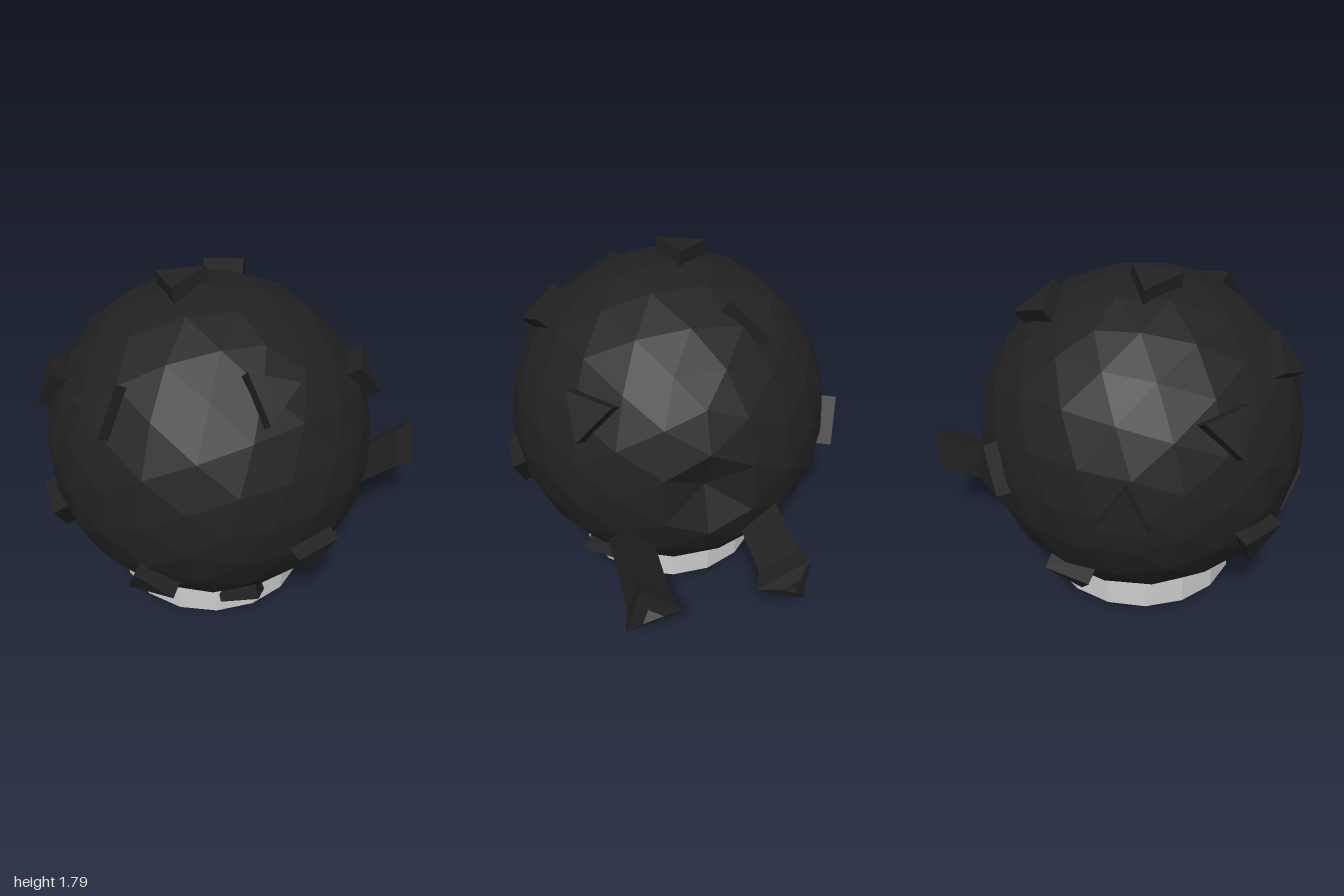
import * as THREE from 'three';

const V = (x, y, z) => new THREE.Vector3(x, y, z);
const CENTRE = V(-0.025, 0.885, 0.14);
const RADIUS = 0.835;

const dark = new THREE.MeshStandardMaterial({ color: 0x222222, flatShading: true });
const grey = new THREE.MeshStandardMaterial({ color: 0xcccccc, flatShading: true });

// Turn a mesh so its y axis follows axis and its first corner (+z) leans towards corner
function orient(mesh, axis, corner) {
  const y = axis.clone().normalize();
  const z = corner.clone().addScaledVector(y, -corner.dot(y)).normalize();
  const x = V(0, 0, 0).crossVectors(y, z);
  mesh.quaternion.setFromRotationMatrix(new THREE.Matrix4().makeBasis(x, y, z));
}

function createBall() {
  const geo = new THREE.IcosahedronGeometry(RADIUS, 3);
  const p = geo.attributes.position;
  // hexagonal dimple at the back: push the one rearmost vertex inwards
  for (let i = 0; i < p.count; i++) {
    if (p.getZ(i) < -0.98 * RADIUS) p.setZ(i, -0.7);
  }
  geo.computeVertexNormals();
  const ball = new THREE.Mesh(geo, dark);
  ball.name = 'ball';
  ball.position.copy(CENTRE);
  return ball;
}

// Triangular stud standing radially on the ball
function createStud(at, corner) {
  const n = V(...at).sub(CENTRE).normalize();
  const stud = new THREE.Mesh(new THREE.CylinderGeometry(0.145, 0.145, 0.2, 3), dark);
  stud.name = 'stud';
  orient(stud, n, V(...corner).sub(V(...at)));
  stud.position.copy(CENTRE).addScaledVector(n, 0.79);
  return stud;
}

// Three-sided leg with a flared, hollowed foot
function createProng(name, x, corner) {
  const profile = [[0, 0], [0.125, 0], [0.125, 0.47], [0.168, 0.57], [0.06, 0.6], [0, 0.52]];
  const geo = new THREE.LatheGeometry(profile.map(([r, h]) => new THREE.Vector2(r, h)), 3);
  const prong = new THREE.Mesh(geo, dark);
  prong.name = name;
  orient(prong, V(0, -0.08, -1), corner);
  prong.position.set(x, 0.58, -0.4);
  return prong;
}

export function createModel() {
  const model = new THREE.Group();
  model.name = 'studdedBall';
  model.add(createBall());

  // Base disc; the ball just breaks through its underside
  const base = new THREE.Mesh(
    new THREE.CylinderGeometry(0.505, 0.505, 0.185, 16, 1, false, Math.PI / 16), grey);
  base.name = 'base';
  base.position.set(CENTRE.x, 0.158, CENTRE.z);
  model.add(base);

  // Studs: place on the ball, and a point towards which one corner looks
  const studs = [
    [[-0.40, 1.26, 0.79], [-0.41, 1.11, 0.85]],
    [[0.10, 1.36, 0.80], [0.15, 1.47, 0.72]],
    [[-0.80, 0.93, 0.50], [-0.78, 1.07, 0.50]],
    [[-0.27, 0.62, 0.90], [-0.26, 0.51, 0.86]],
    [[0.35, 0.52, 0.78], [0.36, 0.68, 0.84]],
    [[0.82, 0.63, 0.15], [0.80, 0.48, 0.15]],
    [[0.50, 0.20, 0.30], [0.57, 0.32, 0.31]],
    [[-0.72, 0.38, 0.17], [-0.67, 0.27, 0.17]],
    [[-0.12, 1.74, 0.24], [-0.24, 1.73, 0.27]],
    [[-0.35, 1.60, -0.25], [-0.40, 1.58, -0.39]],
    [[0.60, 1.48, 0.26], [0.68, 1.35, 0.35]],
    [[0.50, 1.30, -0.42], [0.56, 1.16, -0.47]],
    [[0.42, 0.27, -0.22], [0.45, 0.36, -0.23]],
    [[-0.78, 0.90, -0.24], [-0.78, 1.03, -0.24]],
    [[-0.14, 0.03, 0.04], [-0.20, 0.03, -0.07]],
  ];
  const studGroup = new THREE.Group();
  studGroup.name = 'studs';
  studs.forEach(([at, corner]) => studGroup.add(createStud(at, corner)));
  model.add(studGroup);

  // Pair of prongs at the lower back
  model.add(createProng('leftProng', 0.345, V(-1, -0.25, 0)));
  model.add(createProng('rightProng', -0.34, V(1, 0, 0)));
  return model;
}
